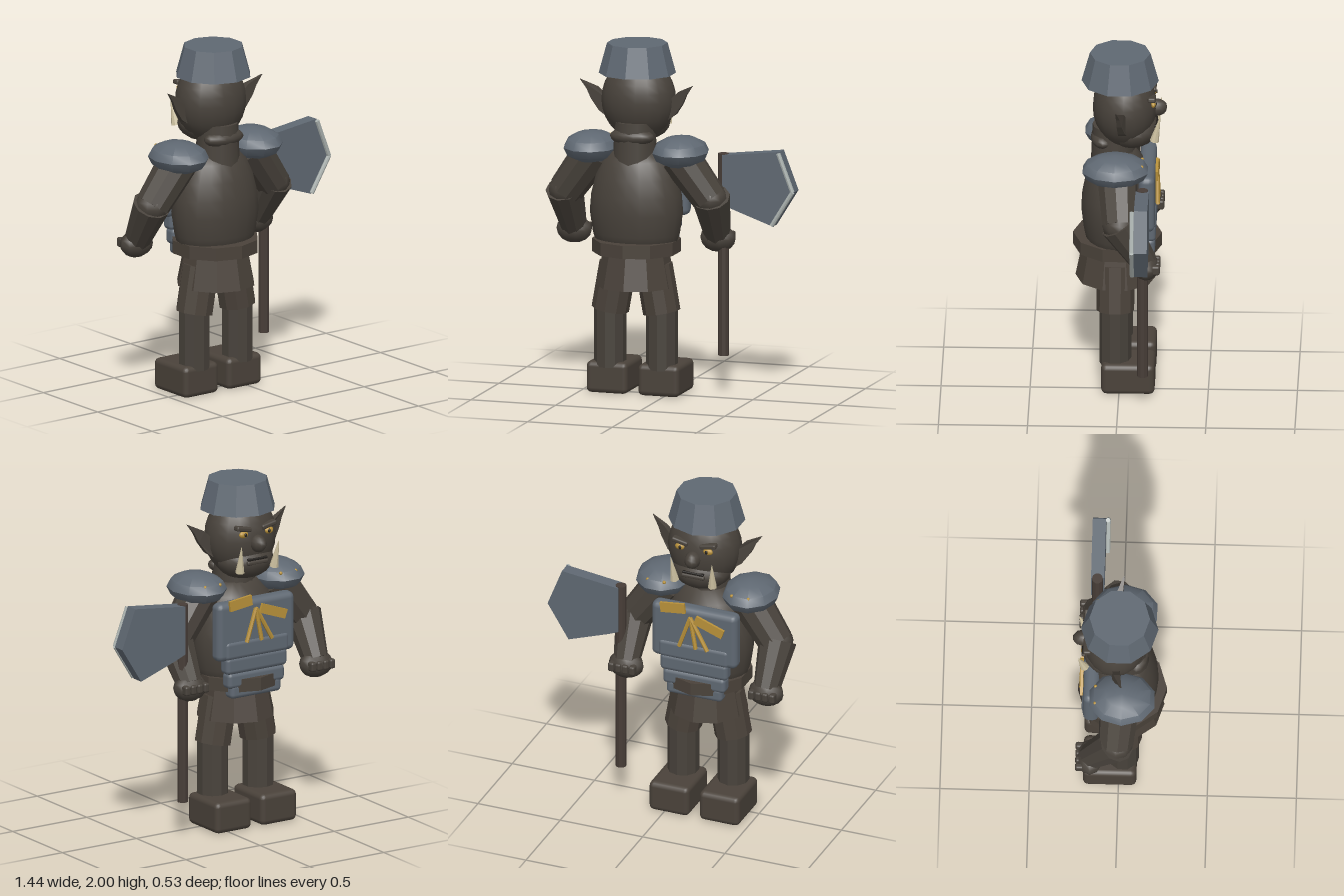
import * as THREE from 'three';
import { toCreasedNormals } from 'three/addons/utils/BufferGeometryUtils.js';
import { RoundedBoxGeometry } from 'three/addons/geometries/RoundedBoxGeometry.js';

const mat = (name, color) => {
  const m = new THREE.MeshStandardMaterial({ color });
  m.name = name;
  return m;
};

export function createModel() {
  const skin = mat('skin', 0x48423b);
  const cloth = mat('cloth', 0x4a423a);
  const wood = mat('wood', 0x473d37);
  const steel = mat('steel', 0x5f6872);
  const edgeSteel = mat('edgeSteel', 0xaab1ae);
  const gold = mat('gold', 0xb8913a);
  const ivory = mat('ivory', 0xcfc3a2);
  const dark = mat('dark', 0x221f1c);

  const model = new THREE.Group();
  model.name = 'axeWarrior';
  const body = new THREE.Group();
  body.name = 'warrior';
  body.position.x = -0.1825;
  model.add(body);

  const add = (name, geo, m, pos = [0, 0, 0], parent = body) => {
    const mesh = new THREE.Mesh(geo, m);
    mesh.name = name;
    mesh.position.set(...pos);
    parent.add(mesh);
    return mesh;
  };
  const tube = (rt, rb, h, n = 10) => toCreasedNormals(new THREE.CylinderGeometry(rt, rb, h, n), 0.6);
  const ball = (rx, ry, rz, w = 14, h = 10) => new THREE.SphereGeometry(1, w, h).scale(rx, ry, rz);
  const block = (w, h, d, r) => new RoundedBoxGeometry(w, h, d, 2, r);
  // tapered cylinder from point a to point b
  const limb = (name, a, b, ra, rb, m, n = 10, parent = body) => {
    const A = new THREE.Vector3(...a), B = new THREE.Vector3(...b);
    const dir = B.clone().sub(A);
    const mesh = add(name, tube(rb, ra, dir.length(), n), m, A.clone().add(B).multiplyScalar(0.5).toArray(), parent);
    mesh.quaternion.setFromUnitVectors(new THREE.Vector3(0, 1, 0), dir.normalize());
    return mesh;
  };

  // Torso and hips
  const profile = [[0, 0.8], [0.22, 0.82], [0.25, 0.92], [0.268, 1.04], [0.26, 1.14], [0.235, 1.24],
    [0.19, 1.34], [0.12, 1.41], [0, 1.42]].map(p => new THREE.Vector2(...p));
  add('torso', new THREE.LatheGeometry(profile, 20).scale(1, 1, 0.76), skin, [0, 0, 0.015]);
  add('neck', new THREE.CylinderGeometry(0.115, 0.125, 0.24, 14), skin, [0, 1.44, 0.04]);
  add('belt', tube(0.25, 0.25, 0.075), cloth, [0, 0.848, 0.015]);
  add('skirt', tube(0.19, 0.228, 0.19).scale(0.98, 1, 1), cloth, [0, 0.715, 0.023]);

  // Head and face, looking toward -z
  add('head', ball(0.213, 0.235, 0.18, 18, 14), skin, [0, 1.675, -0.025]);
  add('jaw', ball(0.172, 0.11, 0.15), skin, [0, 1.545, -0.065]);
  add('neckRoll', ball(0.13, 0.05, 0.07), skin, [0, 1.48, 0.095]);
  add('nose', ball(0.045, 0.05, 0.06, 10, 8), skin, [0, 1.665, -0.205]);
  add('mouth', block(0.13, 0.014, 0.02, 0.005), dark, [0, 1.575, -0.2]);
  add('lowerLip', block(0.14, 0.025, 0.03, 0.01), skin, [0, 1.555, -0.198]);
  add('helmet', tube(0.17, 0.217, 0.172), steel, [0, 1.914, 0]);

  // Chest armour
  add('chestPlate', block(0.52, 0.34, 0.09, 0.035), steel, [0, 1.17, -0.155]);
  [[0.43, 1.06], [0.41, 0.97], [0.38, 0.88], [0.34, 0.815]].forEach(([w, y], i) =>
    add('bellyPlate' + i, block(w, 0.11 - i * 0.008, 0.08, 0.025), steel, [0, y, -0.168 + i * 0.004]));
  const ornament = new THREE.Group();
  ornament.name = 'chestOrnament';
  body.add(ornament);
  [[0.12, 1.335, 0.15, 0.06, 0.12], [-0.1, 1.255, 0.18, 0.055, -0.35]].forEach(([x, y, w, h, tilt], i) => {
    add('ornamentPlate' + i, new THREE.BoxGeometry(w, h, 0.015), gold, [x, y, -0.21], ornament).rotation.z = -tilt;
  });
  [-0.09, -0.02, 0.08].forEach((x, i) =>
    limb('ornamentRod' + i, [x, 1.1, -0.213], [0.015, 1.29, -0.208], 0.012, 0.012, gold, 6, ornament));

  for (const s of [-1, 1]) {
    const side = s > 0 ? 'left' : 'right';
    const part = n => side + n;

    // Eye, brow, tusk
    add(part('Eye'), ball(0.03, 0.02, 0.015, 10, 8), gold, [s * 0.085, 1.725, -0.188]);
    add(part('Pupil'), ball(0.009, 0.012, 0.006, 8, 6), dark, [s * 0.08, 1.725, -0.202]);
    add(part('Brow'), block(0.1, 0.028, 0.045, 0.01), skin, [s * 0.085, 1.757, -0.18]).rotation.z = s * 0.2;
    limb(part('Tusk'), [s * 0.115, 1.51, -0.195], [s * 0.125, 1.665, -0.228], 0.026, 0.002, ivory, 8);

    // Pointed ear, swept back toward the tip
    const ear = new THREE.Shape([[0.17, 1.56], [0.225, 1.6], [0.27, 1.665], [0.295, 1.72], [0.333, 1.775],
      [0.24, 1.73], [0.18, 1.67]].map(([x, y]) => new THREE.Vector2(s * x, y)));
    const earGeo = new THREE.ExtrudeGeometry(ear, { depth: 0.05, bevelEnabled: false });
    const p = earGeo.attributes.position;
    for (let i = 0; i < p.count; i++) {
      const t = Math.max(0, (Math.abs(p.getX(i)) - 0.2) / 0.133);
      p.setZ(i, (p.getZ(i) - 0.025) * (1 - 0.85 * t) - 0.02 + 0.035 * t);
    }
    earGeo.computeVertexNormals();
    add(part('Ear'), earGeo, skin);

    // Shoulder pad with rivets
    add(part('ShoulderPad'), toCreasedNormals(ball(0.16, 0.09, 0.192, 10, 6), 0.7), steel, [s * 0.262, 1.396, 0.02]);
    for (const dx of [-0.05, 0.05])
      add(part('Rivet'), ball(0.01, 0.01, 0.01, 8, 6), gold, [s * 0.255 + dx, 1.437, -0.13]);

    // Arm and fist
    const shoulder = [s * 0.25, 1.37, 0.01], elbow = [s * 0.425, 1.13, -0.01], wrist = [s * 0.425, 0.9, -0.15];
    limb(part('UpperArm'), shoulder, elbow, 0.115, 0.1, skin);
    add(part('Elbow'), ball(0.1, 0.09, 0.1, 10, 8), skin, elbow);
    limb(part('Forearm'), [s * 0.433, 1.14, -0.005], wrist, 0.108, 0.075, skin);
    add(part('Fist'), ball(0.104, 0.078, 0.075, 10, 8), skin, [s * 0.425, 0.88, -0.155]);
    for (let i = 0; i < 4; i++)
      add(part('Finger' + i), block(0.036, 0.055, 0.05, 0.012), skin, [s * (0.362 + i * 0.042), 0.885, -0.212]);

    // Leg and boot
    limb(part('ShortsLeg'), [s * 0.152, 0.473, 0.023], [s * 0.105, 0.74, 0.023], 0.106, 0.106, cloth);
    add(part('Shin'), tube(0.09, 0.09, 0.36), skin, [s * 0.1525, 0.33, 0.023]);
    add(part('Boot'), block(0.243, 0.18, 0.3, 0.03), cloth, [s * 0.1525, 0.09, -0.05]);
  }

  // Axe, held upright in the +x hand
  const axe = new THREE.Group();
  axe.name = 'axe';
  model.add(axe);
  add('axeShaft', tube(0.031, 0.031, 1.155, 10), wood, [0.281, 0.7925, -0.139], axe);
  const blade = new THREE.Shape([[0.285, 1.365], [0.285, 1.085], [0.345, 1.06], [0.585, 0.975], [0.712, 1.18],
    [0.625, 1.405]].map(q => new THREE.Vector2(...q)));
  add('axeBlade', new THREE.ExtrudeGeometry(blade, { depth: 0.075, bevelEnabled: false }), steel, [0, 0, -0.175], axe);
  const rim = [[0.62, 1.398], [0.704, 1.18], [0.582, 0.982]];
  for (let i = 0; i < 2; i++)
    limb('axeEdge' + i, [...rim[i], -0.089], [...rim[i + 1], -0.089], 0.013, 0.013, edgeSteel, 8, axe);

  return model;
}
